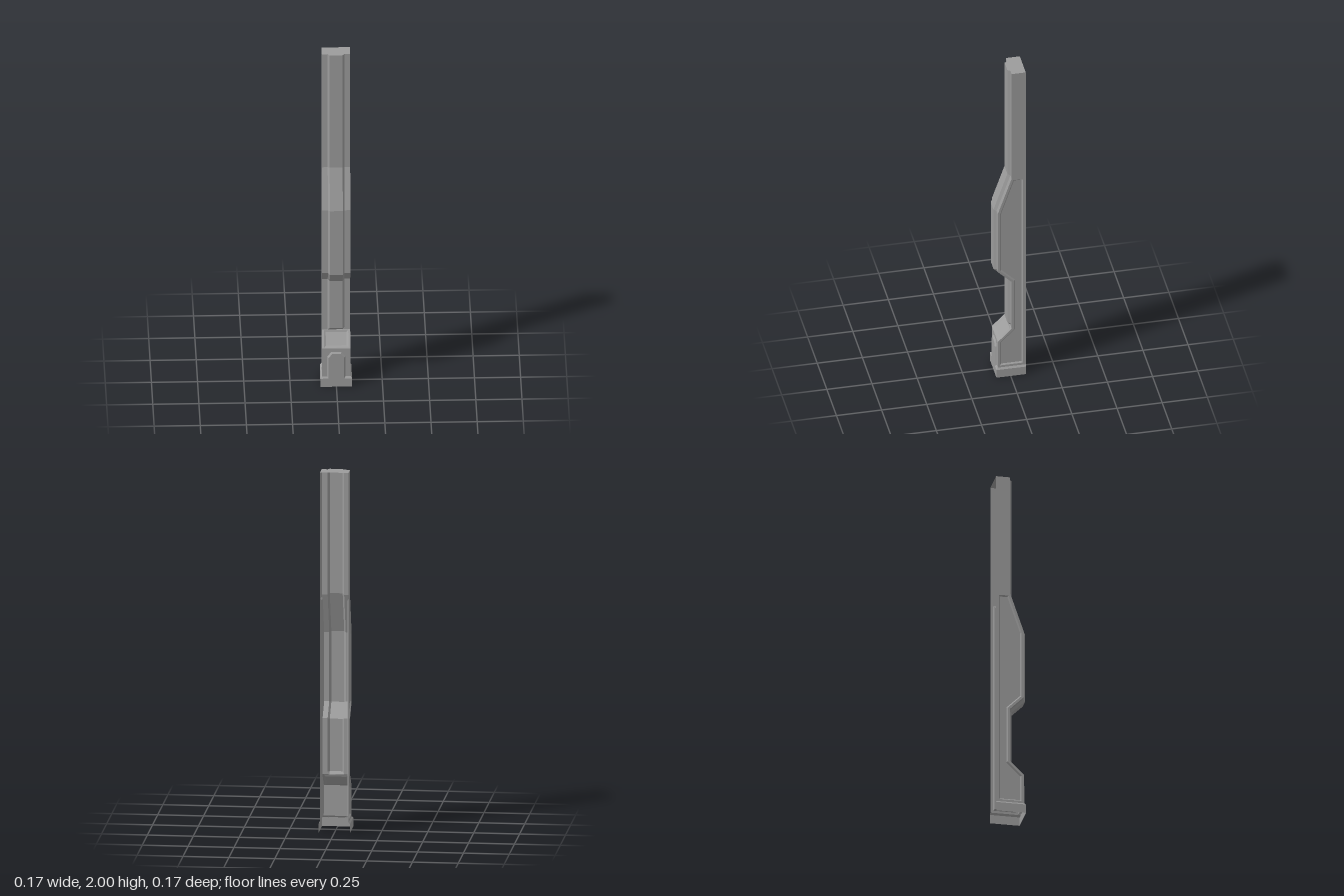
import * as THREE from 'three';

const W = 0.077, BACK = -0.085, RIM = 0.07, WAIST = -0.007;

// Collects quads and flat caps into one faceted surface
class Surface {
  constructor() { this.points = []; }
  tri(a, b, c) { this.points.push(...a, ...b, ...c); }
  // Strips between successive rows of points
  rows(rows, closed = false) {
    for (let r = 0; r + 1 < rows.length; r++) {
      const p = rows[r], q = rows[r + 1], n = p.length;
      for (let i = 0; i < (closed ? n : n - 1); i++) {
        const j = (i + 1) % n;
        this.tri(p[i], p[j], q[j]);
        this.tri(p[i], q[j], q[i]);
      }
    }
    return this;
  }
  // Flat polygon, projected along the given axis for triangulation
  cap(loop, axis) {
    const keep = [0, 1, 2].filter(k => k !== axis);
    const flat = loop.map(p => new THREE.Vector2(p[keep[0]], p[keep[1]]));
    const sign = Math.sign(THREE.ShapeUtils.area(flat));
    for (const t of THREE.ShapeUtils.triangulateShape(flat, [])) {
      const same = Math.sign(THREE.ShapeUtils.area(t.map(k => flat[k]))) === sign;
      const [a, b, c] = (same ? t : [t[0], t[2], t[1]]).map(k => loop[k]);
      this.tri(a, b, c);
    }
    return this;
  }
  mesh(name, material) {
    const g = new THREE.BufferGeometry();
    g.setAttribute('position', new THREE.Float32BufferAttribute(this.points, 3));
    g.computeVertexNormals();
    const m = new THREE.Mesh(g, material);
    m.name = name;
    return m;
  }
}

export function createModel() {
  const group = new THREE.Group();
  group.name = 'wallPillar';
  const material = new THREE.MeshStandardMaterial({
    color: 0x9c9c9c, flatShading: true, side: THREE.DoubleSide,
  });
  const add = (surface, name) => group.add(surface.mesh(name, material));

  // Front column: raised centre strip between two lower edge strips, as [y, z]
  const edge = [[0.307, WAIST], [0.322, WAIST], [0.618, WAIST], [0.695, RIM],
    [1.08, RIM], [1.305, WAIST], [2, WAIST]];
  const centre = [[0.307, WAIST], [0.322, 0.008], [0.613, 0.008], [0.69, 0.085],
    [1.083, 0.085], [1.31, 0.008], [2, 0.008]];
  const columnRows = edge.map((e, i) => {
    const c = centre[i];
    return [[-W, ...e], [-0.045, ...e], [-0.035, ...c], [0.035, ...c], [0.045, ...e], [W, ...e]];
  });
  add(new Surface().rows(columnRows), 'frontColumn');

  // Top cap, following the column section
  const top = [...columnRows[6], [W, 2, BACK], [-W, 2, BACK]];
  add(new Surface().cap(top, 1), 'topCap');

  // Side walls with a recessed panel, as [z, y]
  const outline = [[BACK, 0.06], [RIM, 0.06], [RIM, 0.23], [WAIST, 0.307], [WAIST, 0.618],
    [RIM, 0.695], [RIM, 1.08], [WAIST, 1.305], [BACK, 1.305]];
  const panelRim = [[-0.069, 0.073], [0.057, 0.073], [0.057, 0.225], [-0.02, 0.302], [-0.02, 0.623],
    [0.057, 0.7], [0.057, 1.077], [-0.016, 1.293], [-0.069, 1.293]];
  const panelFloor = [[-0.062, 0.08], [0.05, 0.08], [0.05, 0.222], [-0.027, 0.299], [-0.027, 0.626],
    [0.05, 0.703], [0.05, 1.076], [-0.021, 1.286], [-0.062, 1.286]];
  for (const s of [-1, 1]) {
    const place = (loop, inset) => {
      const pts = loop.map(([z, y]) => [s * (W - inset), y, z]);
      return s > 0 ? pts.reverse() : pts;
    };
    const upper = place([[BACK, 1.305], [WAIST, 1.305], [WAIST, 2], [BACK, 2]], 0);
    const floor = place(panelFloor, 0.007);
    const wall = new Surface()
      .rows([place(outline, 0), place(panelRim, 0), floor], true)
      .cap(floor, 0)
      .cap(upper, 0);
    add(wall, s > 0 ? 'leftWall' : 'rightWall');
  }

  // Sloped plinth top with a recessed panel
  const onSlope = (w, t0, t1, d) => [[-w, t0], [w, t0], [w, t1], [-w, t1]].map(([x, t]) => [
    x, 0.23 + 0.077 * t + 0.707 * d, RIM + (WAIST - RIM) * t + 0.707 * d]);
  const slopeFloor = onSlope(0.056, 0.18, 0.87, -0.005);
  add(new Surface()
    .rows([onSlope(W, 0, 1, 0), onSlope(0.066, 0.04, 0.97, 0), slopeFloor], true)
    .cap(slopeFloor, 1), 'slopedPanel');

  // Plinth front
  add(new Surface().rows([
    [[-W, 0.06, RIM], [W, 0.06, RIM]],
    [[-W, 0.23, RIM], [W, 0.23, RIM]],
  ]), 'plinthFront');

  // Raised arch, flush with the base
  const arch = (w, shoulder, tw, h, z) => [[w, 0.05, z], [w, shoulder, z], [tw, h, z],
    [-tw, h, z], [-w, shoulder, z], [-w, 0.05, z]];
  const archFace = arch(0.042, 0.178, 0.023, 0.2, 0.079);
  add(new Surface()
    .rows([arch(0.05, 0.182, 0.027, 0.209, RIM), archFace])
    .cap(archFace, 2), 'arch');

  // Base band with a bevelled upper edge, open at the back
  const band = (w, y, z) => [[-w, y, BACK], [-w, y, z], [w, y, z], [w, y, BACK]];
  add(new Surface().rows([band(0.085, 0, 0.079), band(0.085, 0.05, 0.079), band(W, 0.06, RIM)]), 'base');

  return group;
}
